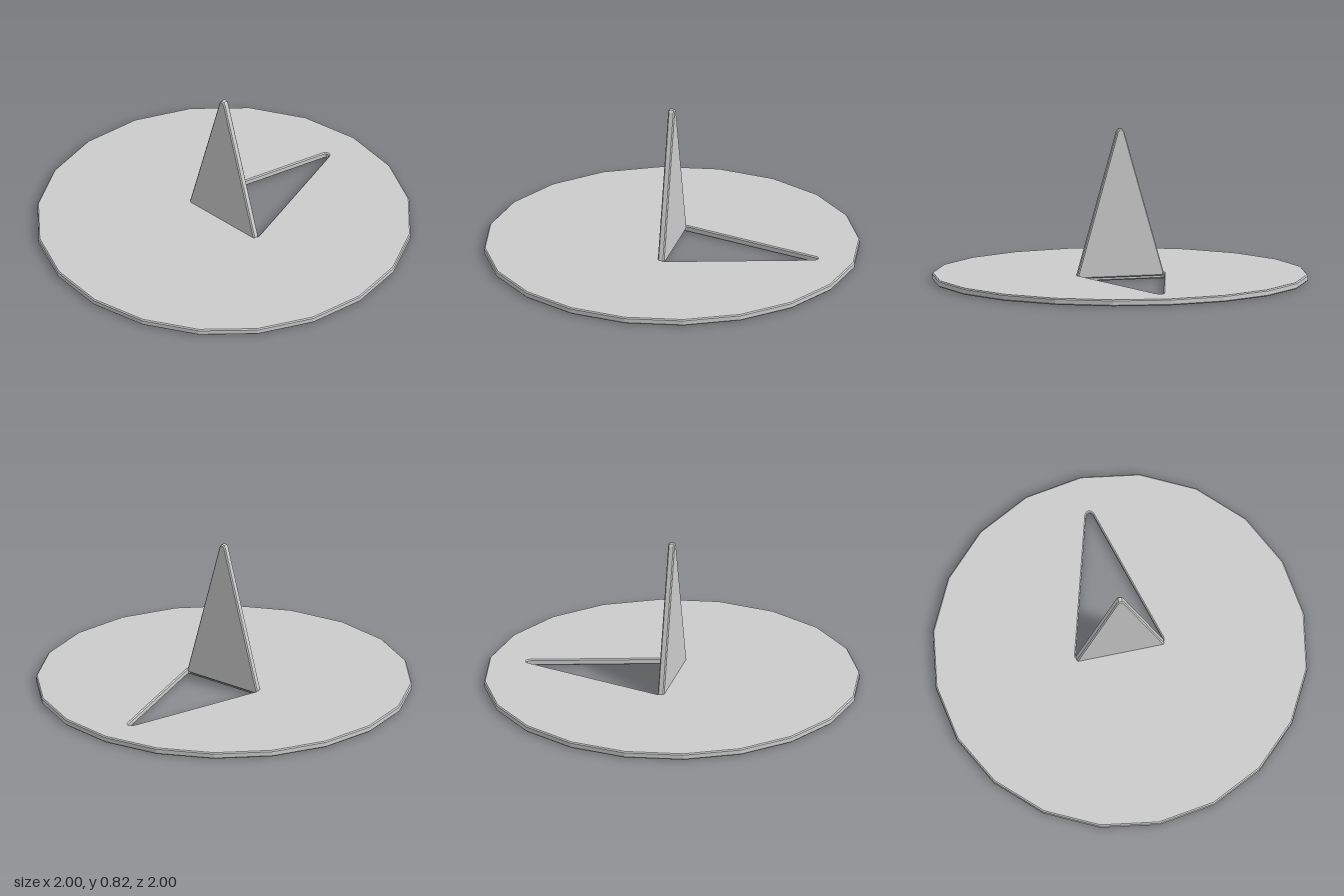
import * as THREE from 'three';

const THICK = 0.035; // sheet thickness
const BEVEL = 0.006; // small chamfer on every edge

// Tall triangle with clipped corners; base lies on y = 0
function finPoints() {
  const right = [[0.225, 0], [0.236, 0.008], [0.237, 0.02], [0.019, 0.782], [0.01, 0.795]];
  const left = right.map(([x, y]) => [-x, y]).reverse();
  return [...right, [0, 0.798], ...left].map(([x, y]) => new THREE.Vector2(x, y));
}

// Chamfered sheet, centred on its thickness
function sheet(shape) {
  const geometry = new THREE.ExtrudeGeometry(shape, {
    depth: THICK - 2 * BEVEL,
    bevelEnabled: true,
    bevelThickness: BEVEL,
    bevelSize: BEVEL,
    bevelOffset: -BEVEL,
    bevelSegments: 1,
  });
  return geometry.translate(0, 0, BEVEL - THICK / 2);
}

export function createModel() {
  const group = new THREE.Group();
  const material = new THREE.MeshStandardMaterial({ color: 0xcccccc, flatShading: true });

  // Twenty-sided disc with the triangle cut out
  const rim = Array.from({ length: 20 }, (_, i) => {
    const a = (i / 20) * Math.PI * 2;
    return new THREE.Vector2(Math.cos(a), Math.sin(a));
  });
  const discShape = new THREE.Shape(rim);
  discShape.holes.push(new THREE.Path(finPoints().reverse()));
  const disc = new THREE.Mesh(sheet(discShape), material);
  disc.name = 'disc';
  disc.rotation.x = -Math.PI / 2;
  disc.position.y = THICK / 2;

  // The cut-out folded upright along its base
  const fin = new THREE.Mesh(sheet(new THREE.Shape(finPoints())), material);
  fin.name = 'uprightFin';
  fin.position.y = THICK / 2;

  group.add(disc, fin);
  return group;
}
